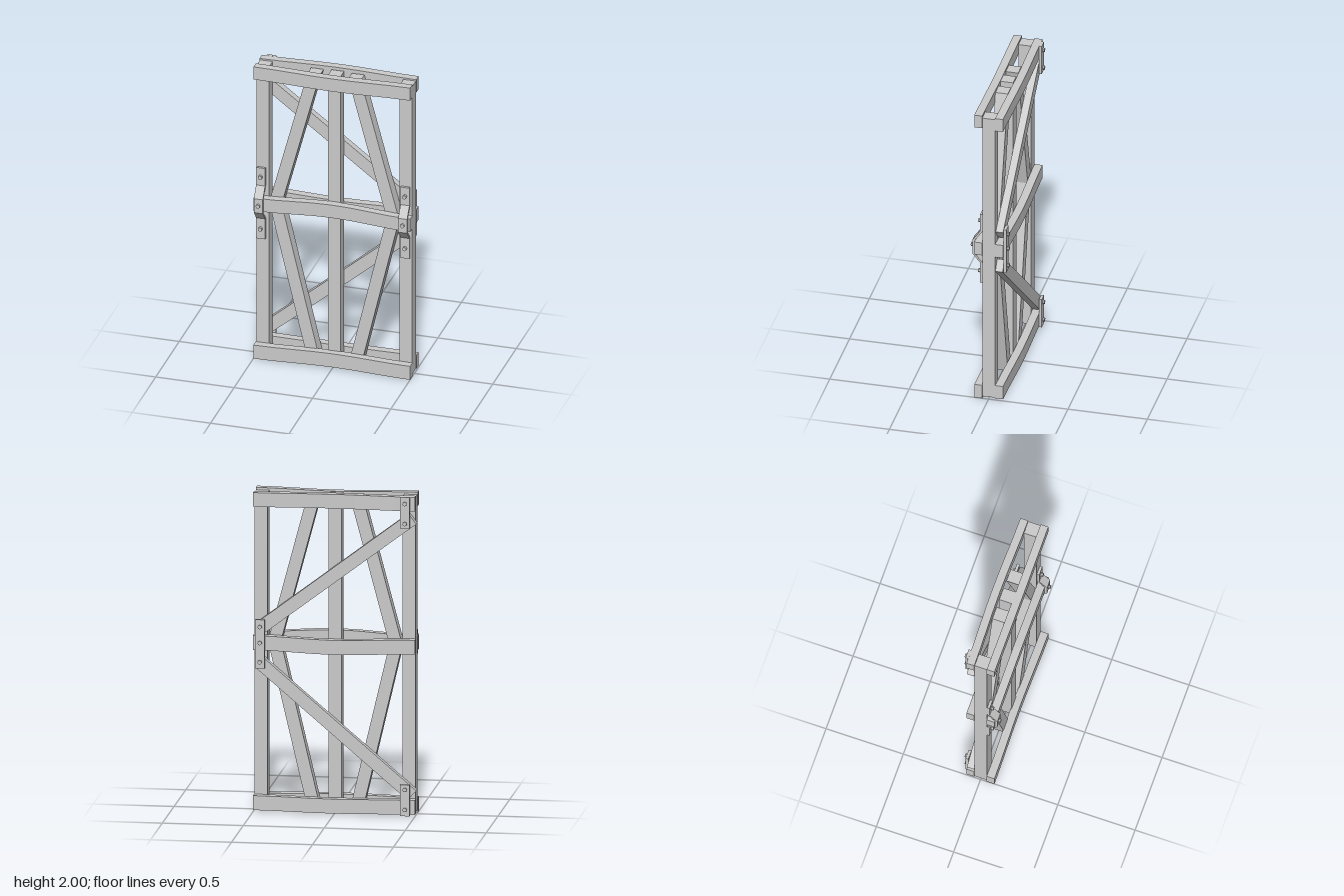
import * as THREE from 'three';

const material = new THREE.MeshStandardMaterial({ color: 0xcccccc, flatShading: true });

export function createModel() {
  const model = new THREE.Group();

  function add(name, geometry, x = 0, y = 0, z = 0) {
    const mesh = new THREE.Mesh(geometry, material);
    mesh.name = name;
    mesh.position.set(x, y, z);
    model.add(mesh);
    return mesh;
  }

  const box = (name, w, h, d, x, y, z) => add(name, new THREE.BoxGeometry(w, h, d), x, y, z);

  // Horizontal rail, slightly bowed towards its middle
  function rail(name, y, z, h, bowY, bowZ) {
    const geometry = new THREE.BoxGeometry(1, h, 0.05, 8, 1, 1);
    const p = geometry.attributes.position;
    for (let i = 0; i < p.count; i++) {
      const k = 0.5 + 0.5 * Math.cos(p.getX(i) * Math.PI * 2);
      p.setY(i, p.getY(i) + bowY * k);
      p.setZ(i, p.getZ(i) + bowZ * k);
    }
    geometry.computeVertexNormals();
    return add(name, geometry, 0, y, z);
  }

  // Bolt head pointing along z
  function bolt(x, y, z) {
    const geometry = new THREE.CylinderGeometry(0.013, 0.013, 0.03, 8).rotateX(Math.PI / 2);
    add('bolt', geometry, x, y, z);
  }

  // Uprights
  box('leftPost', 0.08, 1.97, 0.08, 0.458, 1, 0);
  box('rightPost', 0.08, 1.97, 0.08, -0.456, 1, 0);
  box('centrePost', 0.08, 1.97, 0.08, 0, 1, 0);

  // Slanted struts between the rails, cut level at both ends
  for (const side of [-1, 1]) {
    for (const [endY, name] of [[1.98, 'upperStrut'], [0.02, 'lowerStrut']]) {
      const a = side * 0.13, b = side * 0.375, w = 0.04;
      const shape = new THREE.Shape([
        new THREE.Vector2(a - w, endY), new THREE.Vector2(a + w, endY),
        new THREE.Vector2(b + w, 1.06), new THREE.Vector2(b - w, 1.06),
      ]);
      add(name, new THREE.ExtrudeGeometry(shape, { depth: 0.078, bevelEnabled: false }), 0, 0, -0.039);
    }
  }

  // Front and back rails
  rail('topFrontRail', 1.957, 0.065, 0.086, -0.01, 0);
  rail('middleFrontRail', 1.057, 0.065, 0.088, 0.024, 0);
  rail('bottomFrontRail', 0.046, 0.065, 0.092, 0.01, -0.007);
  rail('topBackRail', 1.95, -0.066, 0.088, 0.006, -0.009);
  rail('middleBackRail', 1.057, -0.066, 0.09, -0.015, -0.006);
  rail('bottomBackRail', 0.057, -0.066, 0.09, -0.006, -0.006);

  // Long diagonal braces on the back
  const upperBrace = box('upperBrace', 1.178, 0.08, 0.046, -0.014, 1.503, -0.063);
  upperBrace.rotation.z = Math.atan2(-0.71, 0.94);
  const lowerBrace = box('lowerBrace', 1.241, 0.08, 0.046, -0.009, 0.533, -0.063);
  lowerBrace.rotation.z = Math.atan2(0.805, 0.945);

  // Flat bolted plates on the back
  const plates = [
    [-0.44, 1.8, 1.995, [1.955, 1.83]],
    [-0.44, 0.005, 0.2, [0.045, 0.17]],
    [0.455, 0.9, 1.205, [1.16, 1.06, 0.94]],
  ];
  for (const [x, y0, y1, bolts] of plates) {
    box('backPlate', 0.058, y1 - y0, 0.018, x, (y0 + y1) / 2, -0.099);
    for (const y of bolts) bolt(x, y, -0.105);
  }

  // Bent straps holding the middle rail to the outer posts
  const path = [[0.04, 0.81], [0.04, 0.95], [0.09, 1.01], [0.09, 1.105], [0.04, 1.175], [0.04, 1.295]];
  const outer = path.map(([z, y]) => [z + 0.016, y]).reverse();
  const profile = new THREE.Shape([...path, ...outer].map(([z, y]) => new THREE.Vector2(z, y)));
  for (const x of [-0.464, 0.457]) {
    const geometry = new THREE.ExtrudeGeometry(profile, { depth: 0.057, bevelEnabled: false });
    geometry.translate(0, 0, -0.0285).rotateY(-Math.PI / 2);
    // Turn the extruded profile so that its depth runs along x and it faces forward
    add('frontStrap', geometry, x);
    bolt(x, 1.235, 0.058);
    bolt(x, 1.06, 0.105);
    bolt(x, 0.88, 0.058);
  }

  return model;
}
